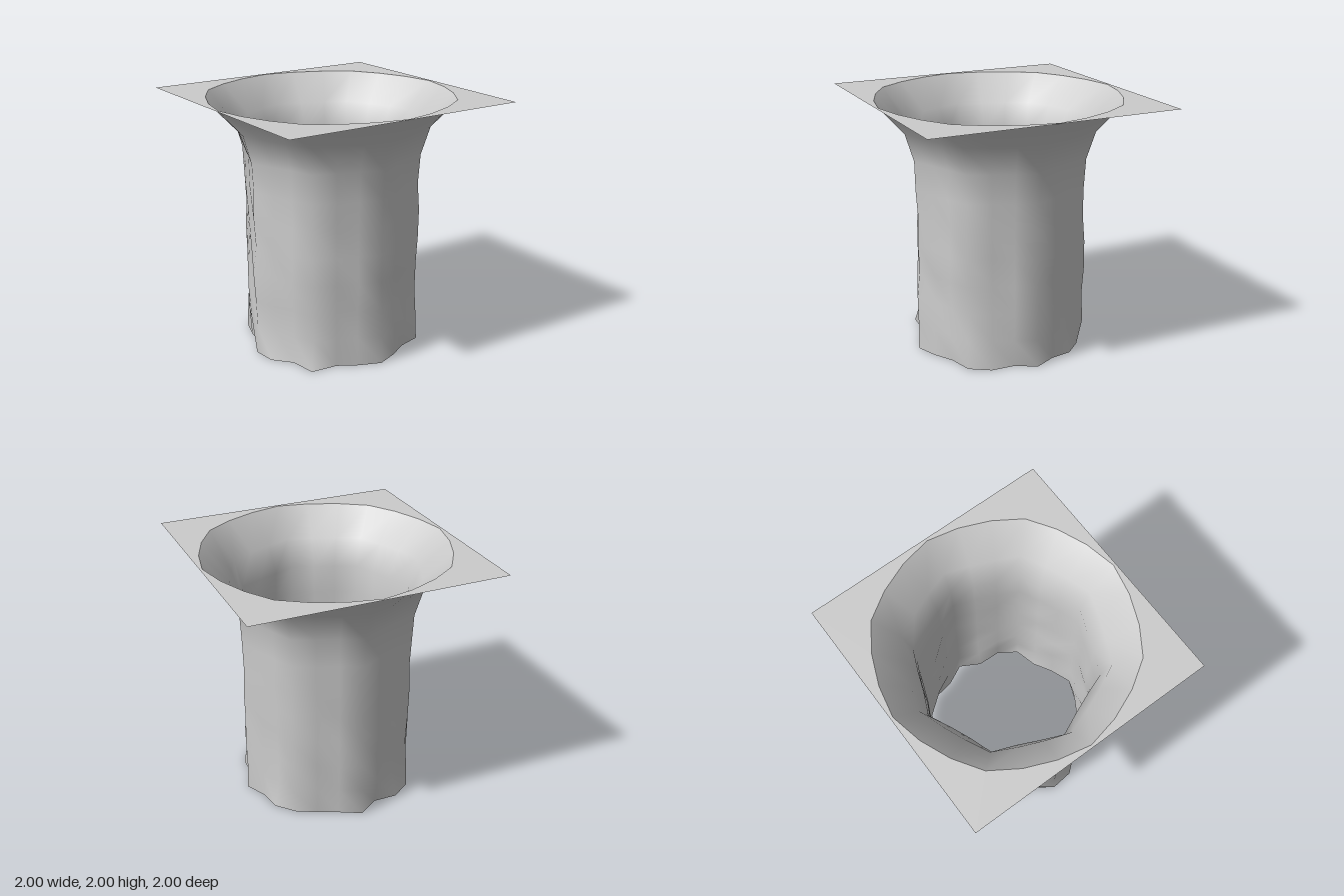
import * as THREE from 'three';

const SEGMENTS = 24;

// Ring heights with the radius at the eight corners and on the sides between them
const RINGS = [
  { y: 2, corner: 0.98, side: 0.96, noise: 0 },
  { y: 1.78, corner: 0.78, side: 0.74, noise: 0 },
  { y: 1.56, corner: 0.71, side: 0.66, noise: 0.006 },
  { y: 1.33, corner: 0.705, side: 0.655, noise: 0.01 },
  { y: 1.11, corner: 0.7, side: 0.652, noise: 0.012 },
  { y: 0.89, corner: 0.7, side: 0.652, noise: 0.015 },
  { y: 0.67, corner: 0.705, side: 0.652, noise: 0.018 },
  { y: 0.44, corner: 0.7, side: 0.652, noise: 0.02 },
  { y: 0.22, corner: 0.7, side: 0.652, noise: 0.02 },
];

// Radii of the ragged bottom rim, every 15 degrees from +x towards +z
const RIM = [
  0.705, 0.635, 0.7, 0.715, 0.64, 0.665, 0.71, 0.665, 0.64, 0.755, 0.65, 0.71,
  0.705, 0.615, 0.65, 0.71, 0.7, 0.625, 0.71, 0.645, 0.64, 0.67, 0.685, 0.645,
];

// Small seeded generator giving values from -1 to 1
function seeded(seed) {
  let s = seed;
  return () => {
    s = (s * 16807) % 2147483647;
    return (s / 2147483647) * 2 - 1;
  };
}

const angleOf = (i) => (i / SEGMENTS) * Math.PI * 2;
const baseRadius = (ring, i) => (i % 3 === 0 ? ring.corner : ring.side);

// Flared, uneven tube, open at both ends
function tubeGeometry() {
  const random = seeded(4711);
  const positions = [];
  const index = [];
  const addPoint = (r, y, i) =>
    positions.push(Math.cos(angleOf(i)) * r, y, Math.sin(angleOf(i)) * r);

  for (const ring of RINGS) {
    for (let i = 0; i < SEGMENTS; i++) {
      addPoint(baseRadius(ring, i) + random() * ring.noise, ring.y, i);
    }
  }
  RIM.forEach((r, i) => addPoint(r, 0, i));

  for (let row = 0; row < RINGS.length; row++) {
    for (let i = 0; i < SEGMENTS; i++) {
      const next = (i + 1) % SEGMENTS;
      const a = row * SEGMENTS + i;
      const b = row * SEGMENTS + next;
      const c = a + SEGMENTS;
      const d = b + SEGMENTS;
      index.push(a, b, c, b, d, c);
    }
  }
  const geometry = new THREE.BufferGeometry();
  geometry.setAttribute('position', new THREE.Float32BufferAttribute(positions, 3));
  geometry.setIndex(index);
  geometry.computeVertexNormals();
  return geometry;
}

// Flat square sheet whose hole matches the top ring of the tube
function plateGeometry() {
  const shape = new THREE.Shape([
    new THREE.Vector2(-1, -1),
    new THREE.Vector2(1, -1),
    new THREE.Vector2(1, 1),
    new THREE.Vector2(-1, 1),
  ]);
  const hole = [];
  for (let i = 0; i < SEGMENTS; i++) {
    const r = baseRadius(RINGS[0], i);
    hole.push(new THREE.Vector2(Math.cos(angleOf(i)) * r, Math.sin(angleOf(i)) * r));
  }
  shape.holes.push(new THREE.Path(hole));
  return new THREE.ShapeGeometry(shape).rotateX(-Math.PI / 2).translate(0, 2, 0);
}

export function createModel() {
  const group = new THREE.Group();
  group.name = 'shaftWithSurround';
  const material = new THREE.MeshStandardMaterial({ color: 0xcccccc, side: THREE.DoubleSide });

  const tube = new THREE.Mesh(tubeGeometry(), material);
  tube.name = 'shaftWall';
  const plate = new THREE.Mesh(plateGeometry(), material);
  plate.name = 'groundSheet';
  group.add(tube, plate);
  return group;
}
